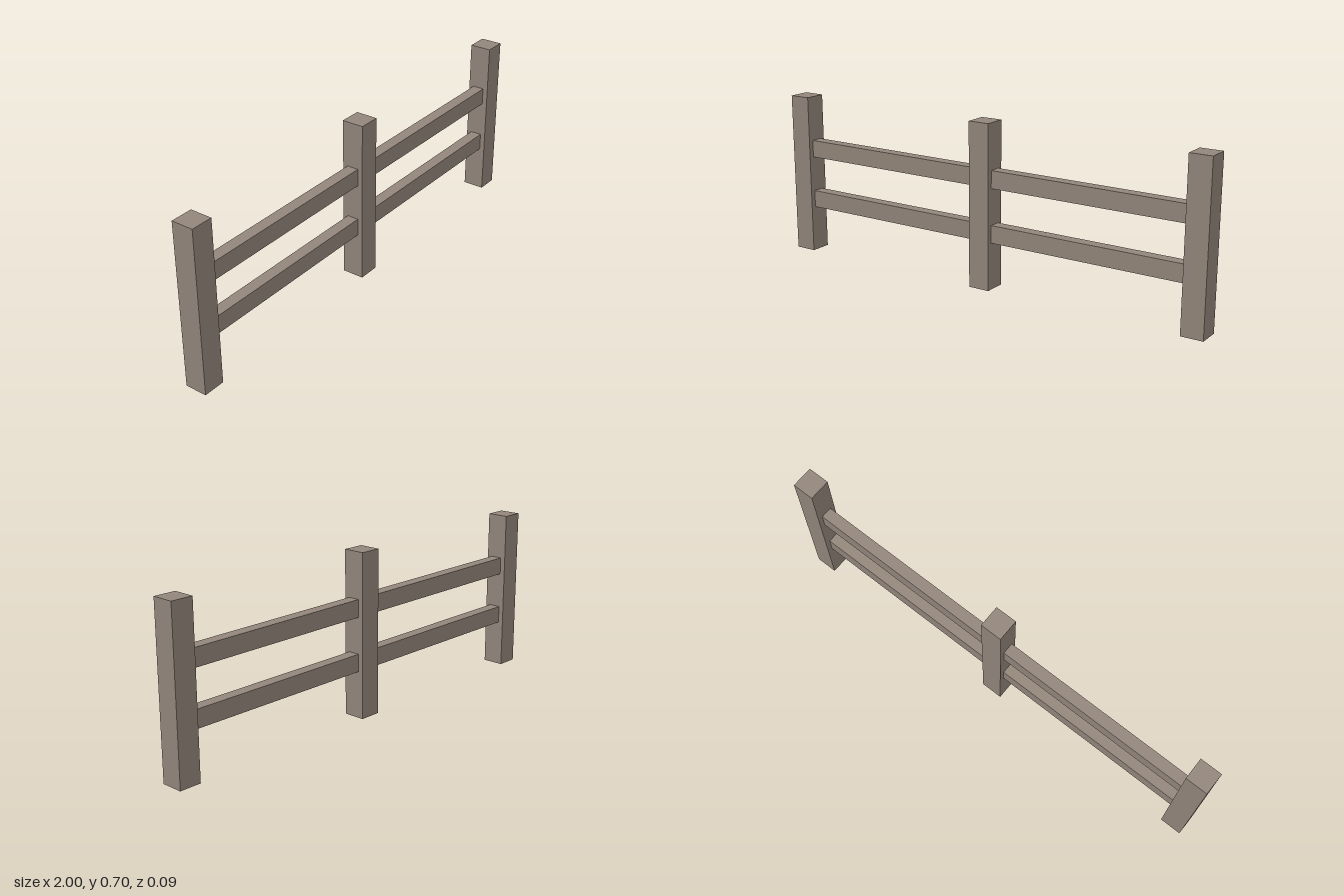
import * as THREE from 'three';

export function createModel() {
  const fence = new THREE.Group();
  fence.name = 'fence';
  const wood = new THREE.MeshStandardMaterial({ color: 0x93867b });
  wood.name = 'weathered wood';

  const postSize = 0.094, postHeight = 0.7;
  const railHeight = 0.075, railDepth = 0.05;
  const postX = 1 - postSize / 2;
  const railLength = postX - postSize; // clear span between neighbouring posts

  const addBox = (name, w, h, d, x, y) => {
    const mesh = new THREE.Mesh(new THREE.BoxGeometry(w, h, d), wood);
    mesh.name = name;
    mesh.position.set(x, y, 0);
    fence.add(mesh);
  };

  // Three square posts
  [['rightPost', -postX], ['middlePost', 0], ['leftPost', postX]].forEach(([name, x]) =>
    addBox(name, postSize, postHeight, postSize, x, postHeight / 2));

  // Lower and upper rails in each of the two bays
  for (const [side, x] of [['right', -postX / 2], ['left', postX / 2]]) {
    for (const [level, y] of [['Lower', 0.2375], ['Upper', 0.4675]]) {
      addBox(`${side}${level}Rail`, railLength, railHeight, railDepth, x, y);
    }
  }
  return fence;
}
